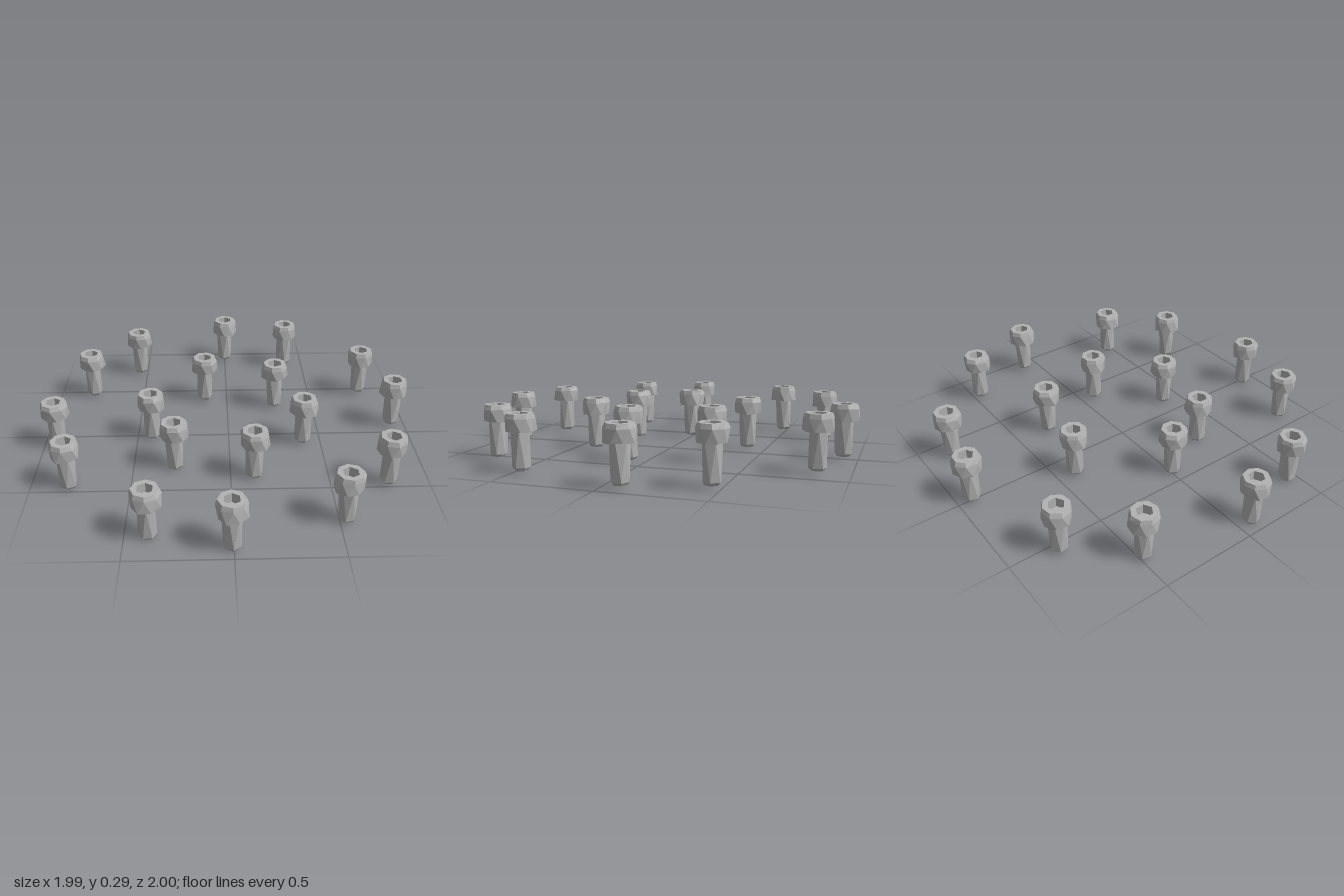
import * as THREE from 'three';

// Bolt positions [x, z]: an outer circle of twelve and an inner circle of six
const OUTER = [[0, -0.925], [0.38, -0.845], [0.8, -0.46], [0.92, -0.09], [0.79, 0.465], [0.53, 0.75],
  [-0.01, 0.92], [-0.39, 0.835], [-0.81, 0.45], [-0.925, 0.08], [-0.8, -0.475], [-0.54, -0.76]];
const INNER = [[-0.13, -0.4], [0.275, -0.31], [0.4, 0.085], [0.12, 0.39], [-0.285, 0.3], [-0.42, 0.01]];

function seeded(seed) {
  let s = seed * 7919 + 17;
  return () => (s = (s * 16807) % 2147483647) / 2147483647;
}

// One ring of n points; twist is in segments, jitter roughens the radius
function ring(n, y, r, twist, jitter, random) {
  return Array.from({ length: n }, (_, i) => {
    const a = (i + twist) / n * Math.PI * 2;
    const q = r + jitter * (random() * 2 - 1);
    return [q * Math.cos(a), y + jitter * 0.5 * (random() * 2 - 1), q * Math.sin(a)];
  });
}

// Faceted skin over equal-count rings, optionally closed at the first and last ring
function loft(rings, closeStart, closeEnd) {
  const p = [];
  const n = rings[0].length;
  const centre = (r) => [0, r.reduce((t, v) => t + v[1], 0) / n, 0];
  for (let i = 0; i < n; i++) {
    const j = (i + 1) % n;
    for (let k = 0; k < rings.length - 1; k++) {
      const lo = rings[k], up = rings[k + 1];
      p.push(...lo[i], ...up[i], ...lo[j], ...up[i], ...up[j], ...lo[j]);
    }
    const first = rings[0], last = rings[rings.length - 1];
    if (closeStart) p.push(...centre(first), ...first[i], ...first[j]);
    if (closeEnd) p.push(...centre(last), ...last[j], ...last[i]);
  }
  const g = new THREE.BufferGeometry();
  g.setAttribute('position', new THREE.Float32BufferAttribute(p, 3));
  g.computeVertexNormals();
  return g;
}

function createBolt(index, steel) {
  const random = seeded(index + 1);
  const bolt = new THREE.Group();
  bolt.name = 'bolt' + (index + 1);
  const add = (name, geometry) => {
    const mesh = new THREE.Mesh(geometry, steel);
    mesh.name = name;
    bolt.add(mesh);
  };
  const spin = random();
  const topY = 0.284, sides = 8;

  // Head side with a rough lower rim and a bevelled upper rim
  const rim = ring(sides, topY, 0.065, spin + 0.5, 0, random);
  add('head', loft([
    ring(sides, 0.2, 0.036, spin, 0, random),
    ring(sides, 0.2, 0.073, spin, 0.006, random),
    ring(sides, 0.262, 0.073, spin + 0.5, 0.003, random),
    rim,
  ]));

  // Flat head top around the hexagonal socket
  const socketTop = ring(6, topY, 0.04, 0.5, 0, random);
  const flat = (r) => r.map((v) => new THREE.Vector2(v[0], -v[2]));
  const shape = new THREE.Shape(flat(rim));
  shape.holes.push(new THREE.Path(flat(socketTop)));
  add('headTop', new THREE.ShapeGeometry(shape).rotateX(-Math.PI / 2).translate(0, topY, 0));

  // Socket walls and floor
  add('socket', loft([socketTop, ring(6, 0.235, 0.04, 0.5, 0, random)], false, true));

  // Faceted shank with a chamfered tip
  const turn = random();
  add('shank', loft([
    ring(6, 0.016, 0.033, turn, 0.003, random),
    ring(6, 0.03, 0.044, turn, 0.002, random),
    ring(6, 0.205, 0.047, turn + 0.5, 0.002, random),
  ], true, false));
  return bolt;
}

export function createModel() {
  const model = new THREE.Group();
  model.name = 'boltSet';
  const steel = new THREE.MeshStandardMaterial({ color: 0xb2b2b2 });
  steel.name = 'steel grey';
  steel.flatShading = true;

  // The whole set leans very slightly towards the front left
  [...OUTER, ...INNER].forEach(([x, z], i) => {
    const bolt = createBolt(i, steel);
    bolt.position.set(x, 0.007 * (x - z), z);
    model.add(bolt);
  });
  return model;
}
